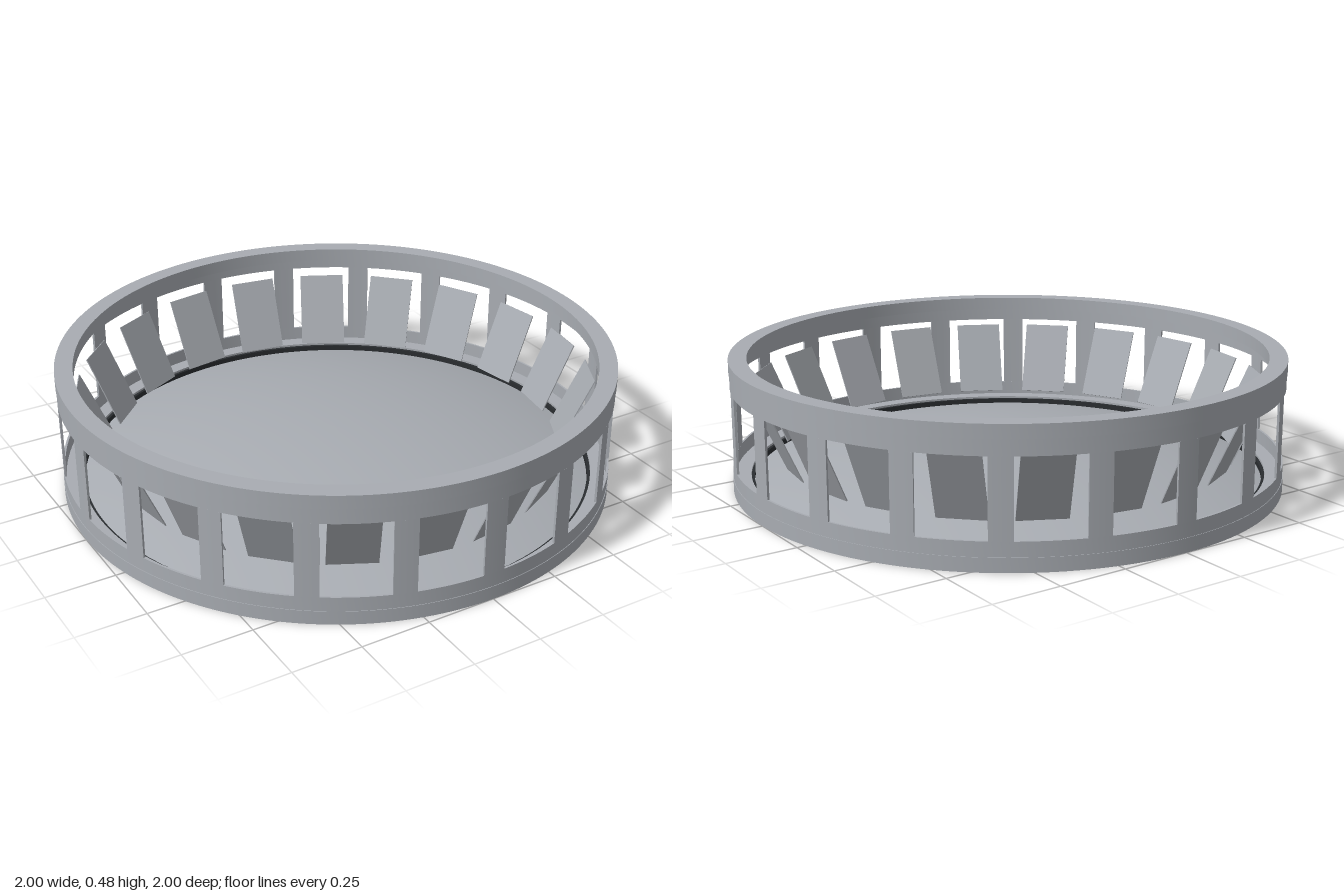
import * as THREE from 'three';
import { toCreasedNormals } from 'three/addons/utils/BufferGeometryUtils.js';

const COUNT = 20;
const STEP = (Math.PI * 2) / COUNT;
const POST = THREE.MathUtils.degToRad(4.6);
const WALL_IN = 0.99, WALL_OUT = 0.998;

// Upright band of rectangular section; a full circle, or an arc from a0 to a1
function band(rIn, rOut, y0, y1, a0, a1) {
  const shape = new THREE.Shape();
  if (a0 === undefined) {
    shape.absarc(0, 0, rOut, 0, Math.PI * 2, false);
    const hole = new THREE.Path();
    hole.absarc(0, 0, rIn, 0, Math.PI * 2, true);
    shape.holes.push(hole);
  } else {
    shape.absarc(0, 0, rOut, a0, a1, false);
    shape.absarc(0, 0, rIn, a1, a0, true);
    shape.closePath();
  }
  const geo = new THREE.ExtrudeGeometry(shape, {
    depth: y1 - y0, bevelEnabled: false, curveSegments: a0 === undefined ? 120 : 4,
  });
  geo.rotateX(-Math.PI / 2);
  geo.translate(0, y0, 0);
  return toCreasedNormals(geo, 0.5);
}

export function createModel() {
  const grey = new THREE.MeshStandardMaterial({ color: 0xa8acb2, side: THREE.DoubleSide });
  grey.name = 'steelGrey';
  const dark = new THREE.MeshStandardMaterial({ color: 0x2a2d30 });
  dark.name = 'sealBlack';
  const model = new THREE.Group();
  model.name = 'ventilatedRing';
  const add = (name, geo, parent = model, material = grey) => {
    const mesh = new THREE.Mesh(geo, material);
    mesh.name = name;
    parent.add(mesh);
    return mesh;
  };

  // Thick end rings and the thin wall strips next to them
  add('bottomRing', band(0.935, 1, 0, 0.05));
  add('lowerWall', band(WALL_IN, WALL_OUT, 0.05, 0.102));
  add('upperWall', band(WALL_IN, WALL_OUT, 0.375, 0.43));
  add('topRing', band(0.935, 1, 0.43, 0.478));

  // Dark seal between the floor and the bottom ring
  add('floorSeal', band(0.924, 0.935, 0.012, 0.042), model, dark);

  // Shallow domed floor, hollow below
  const rim = 0.925, rimY = 0.022, rise = 0.141;
  const radius = (rim * rim + rise * rise) / (2 * rise);
  const profile = [];
  for (let i = 0; i <= 24; i++) {
    const r = rim * (1 - i / 24);
    profile.push(new THREE.Vector2(r, rimY + rise - radius + Math.sqrt(radius * radius - r * r)));
  }
  add('domedFloor', new THREE.LatheGeometry(profile, 96));

  // Posts between the windows, and one outward-leaning vane behind each window
  const posts = new THREE.Group();
  posts.name = 'posts';
  const vanes = new THREE.Group();
  vanes.name = 'vanes';
  model.add(posts, vanes);

  const postGeo = band(WALL_IN, WALL_OUT, 0.102, 0.375, -POST / 2, POST / 2);
  const lean = 0.115, drop = 0.256;
  const vaneGeo = new THREE.BoxGeometry(0.175, Math.hypot(lean, drop), 0.004);
  vaneGeo.rotateX(Math.atan2(lean, drop));
  vaneGeo.translate(0, 0.236, 0.874);
  for (let i = 0; i < COUNT; i++) {
    add('post', postGeo, posts).rotation.y = i * STEP;
    add('vane', vaneGeo, vanes).rotation.y = (i + 0.5) * STEP;
  }
  return model;
}
